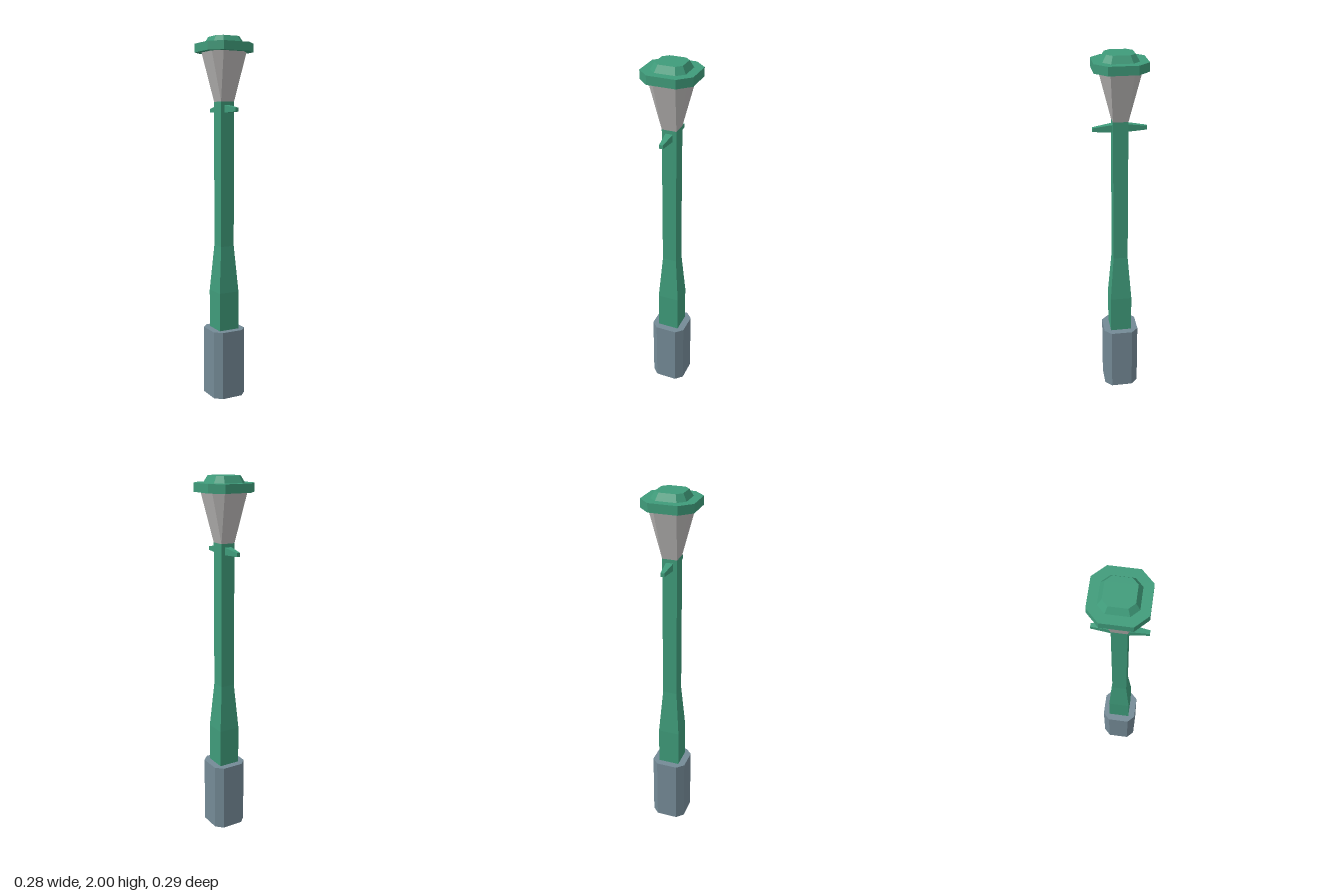
import * as THREE from 'three';

const paint = (name, color) => {
  const m = new THREE.MeshStandardMaterial({ color });
  m.name = name;
  return m;
};

// Closed solid through chamfered-square sections [y, half width, half flat edge, z shift]
function loft(sections) {
  const rings = sections.map(([y, h, f, dz = 0]) =>
    [[f, h], [h, f], [h, -f], [f, -h], [-f, -h], [-h, -f], [-h, f], [-f, h]]
      .map(([x, z]) => new THREE.Vector3(x, y, z + dz)));
  const pos = [];
  const tri = (a, b, c) => {
    if (a.equals(b) || b.equals(c) || c.equals(a)) return; // square corners have no chamfer
    for (const v of [a, b, c]) pos.push(v.x, v.y, v.z);
  };
  for (let r = 0; r < rings.length - 1; r++) {
    const lo = rings[r], hi = rings[r + 1];
    for (let i = 0; i < 8; i++) {
      const j = (i + 1) % 8;
      tri(lo[i], lo[j], hi[j]);
      tri(lo[i], hi[j], hi[i]);
    }
  }
  const bottom = rings[0], top = rings[rings.length - 1];
  for (let i = 1; i < 7; i++) {
    tri(top[0], top[i], top[i + 1]);
    tri(bottom[0], bottom[i + 1], bottom[i]);
  }
  const g = new THREE.BufferGeometry();
  g.setAttribute('position', new THREE.Float32BufferAttribute(pos, 3));
  g.computeVertexNormals();
  return g;
}

export function createModel() {
  const group = new THREE.Group();
  group.name = 'streetLamp';
  const green = paint('green paint', 0x3f9b7a);
  const stone = paint('blue grey stone', 0x748a96);
  const glass = paint('pale grey glass', 0xb8b6b5);

  const add = (name, geometry, material) => {
    const mesh = new THREE.Mesh(geometry, material);
    mesh.name = name;
    group.add(mesh);
    return mesh;
  };

  // Chamfered plinth
  add('base', loft([[0, 0.098, 0.06], [0.385, 0.098, 0.06]]), stone);

  // Square post, narrowing above its foot
  add('post', loft([
    [0.385, 0.06, 0.06], [0.6, 0.06, 0.06], [0.86, 0.04, 0.04], [1.655, 0.04, 0.04],
  ]), green);

  // Lantern flaring from a square to an octagon
  add('lantern', loft([[1.655, 0.04, 0.04], [1.918, 0.106, 0.06]]), glass);

  // Lid with a bevelled crown
  add('lid', loft([[1.918, 0.139, 0.076], [1.964, 0.139, 0.076]]), green);
  add('crown', loft([[1.964, 0.093, 0.055], [2, 0.073, 0.044]]), green);

  // Tapered ladder arms, front and back
  for (const [name, turn] of [['frontArm', 0], ['backArm', Math.PI]]) {
    const g = loft([[0.038, 0.02, 0.02], [0.143, 0.01, 0.01, 0.006]]);
    g.rotateX(Math.PI / 2).rotateY(turn);
    add(name, g, green).position.y = 1.616;
  }
  return group;
}
